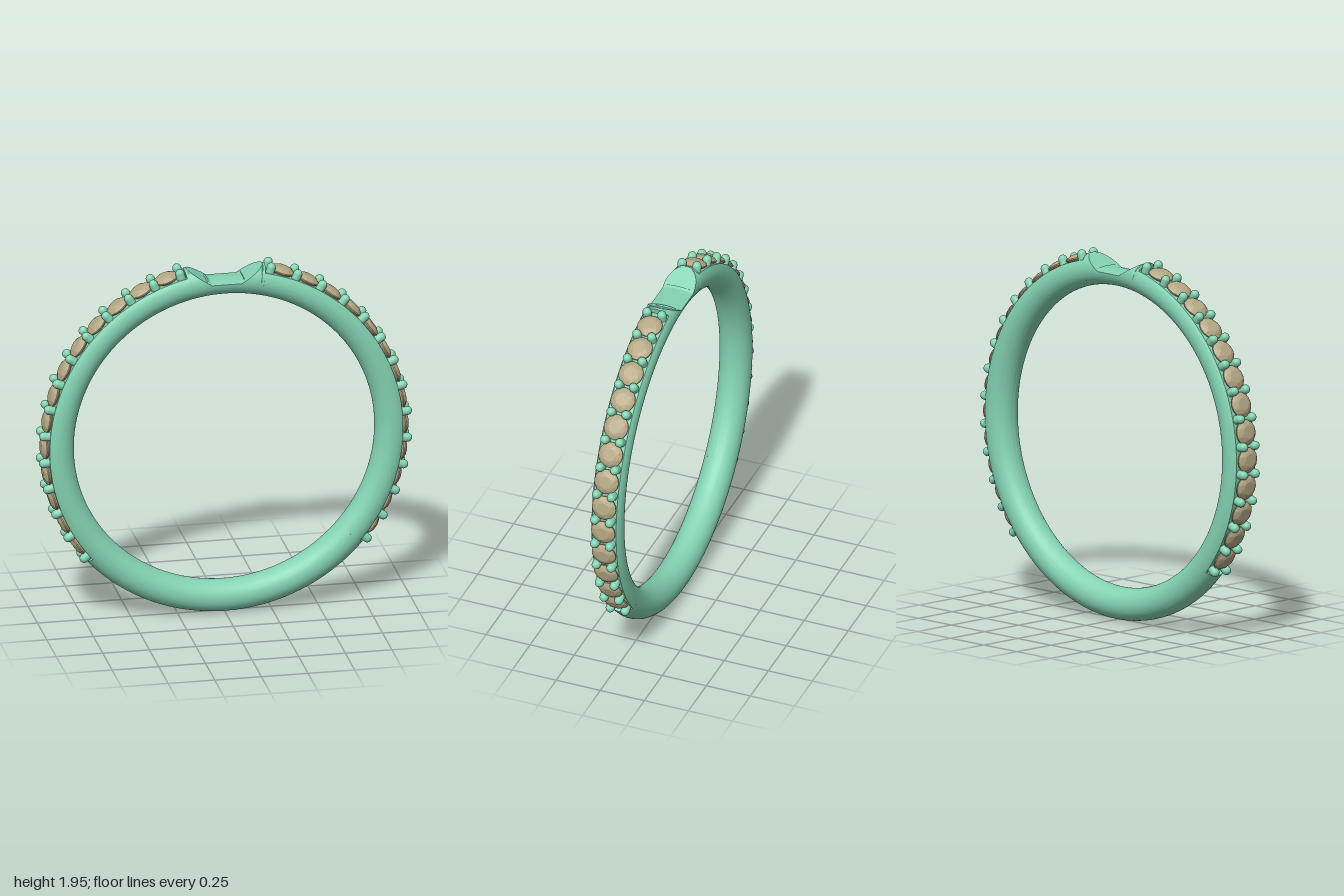
import * as THREE from 'three';
import { toCreasedNormals } from 'three/addons/utils/BufferGeometryUtils.js';
import { ConvexGeometry } from 'three/addons/geometries/ConvexGeometry.js';

const RAD = Math.PI / 180;
const CENTER_Y = 0.985; // height of the ring's axis
const R = 0.8935;       // centreline radius of the band
const T = 0.0865;       // radius of the round band section
const SEAT = 0.947;     // band radius where the stones sit
const PAVE_TOP = 77.2, PAVE_END = -40.9; // stone zone on each side, degrees
const FOOT = 0.08, FLAT = 0.882, SLOPE = 0.62; // saddle at the top
const FOOT_ANGLE = Math.atan2(FLAT, FOOT) / RAD;
const STONES = 13, FIRST = 75.5, STEP = 8.82;

// Outer radius of the band at an angle from +x (right half, -90 to 90)
function outerLimit(deg) {
  if (deg > PAVE_END && deg < PAVE_TOP) return SEAT;
  if (deg < PAVE_TOP) return R + T;
  const s = Math.sin(deg * RAD), c = Math.cos(deg * RAD);
  const slope = (FLAT - SLOPE * FOOT) / (s - SLOPE * c);
  return Math.min(R + T, deg > FOOT_ANGLE ? FLAT / s : slope);
}

// Round section with its outer side cut off flat (slightly domed on the saddle)
function section(deg) {
  const ARC = 52, CHORD = 10, pts = [];
  const cut = outerLimit(deg);
  const phi0 = Math.acos(Math.min(1, (cut - R) / T));
  for (let j = 0; j <= ARC; j++) {
    const phi = phi0 + (2 * Math.PI - 2 * phi0) * j / ARC;
    pts.push([R + T * Math.cos(phi), T * Math.sin(phi)]);
  }
  const dome = deg > FOOT_ANGLE - 1 ? 0.012 : 0;
  for (let j = 1; j < CHORD; j++) {
    const u = 2 * j / CHORD - 1;
    pts.push([cut + dome * (1 - u * u), T * Math.sin(phi0) * u]);
  }
  return pts;
}

function bandGeometry() {
  // Even steps plus paired angles at each end of the stone zone for crisp walls
  const half = [PAVE_END - 0.001, PAVE_END + 0.001, PAVE_TOP - 0.001, PAVE_TOP + 0.001, FOOT_ANGLE];
  for (let a = -90; a <= 90; a += 1.5) half.push(a);
  for (let a = 77.6; a < 86; a += 0.4) half.push(a);
  half.sort((a, b) => a - b);
  const rings = half.map(a => ({ at: a, deg: a }))
    .concat(half.slice(1, -1).reverse().map(a => ({ at: 180 - a, deg: a })));

  const pos = [], idx = [];
  let n = 0;
  for (const { at, deg } of rings) {
    const pts = section(deg);
    n = pts.length;
    for (const [r, z] of pts) pos.push(r * Math.cos(at * RAD), r * Math.sin(at * RAD), z);
  }
  for (let i = 0; i < rings.length; i++) {
    for (let j = 0; j < n; j++) {
      const i2 = (i + 1) % rings.length, j2 = (j + 1) % n;
      const a = i * n + j, b = i2 * n + j, c = i2 * n + j2, d = i * n + j2;
      idx.push(a, b, c, a, c, d);
    }
  }
  const g = new THREE.BufferGeometry();
  g.setAttribute('position', new THREE.Float32BufferAttribute(pos, 3));
  g.setIndex(idx);
  return toCreasedNormals(g, 0.45);
}

// Round faceted stone: table, crown, girdle and pointed pavilion along y
function stoneGeometry() {
  const pts = [new THREE.Vector3(0, -0.055, 0)];
  const ring = (count, radius, y, turn) => {
    for (let i = 0; i < count; i++) {
      const a = (i + turn) / count * 2 * Math.PI;
      pts.push(new THREE.Vector3(radius * Math.cos(a), y, radius * Math.sin(a)));
    }
  };
  ring(8, 0.036, 0.026, 0);
  ring(8, 0.054, 0.0185, 0.5);
  ring(16, 0.068, 0.006, 0);
  ring(16, 0.068, 0, 0);
  return new ConvexGeometry(pts);
}

export function createModel() {
  const model = new THREE.Group();
  const metal = new THREE.MeshStandardMaterial({ color: 0x84d3b2 });
  const gem = new THREE.MeshStandardMaterial({ color: 0xb5a885, flatShading: true });

  const ring = new THREE.Group();
  ring.name = 'ring';
  ring.position.y = CENTER_Y;
  model.add(ring);

  const band = new THREE.Mesh(bandGeometry(), metal);
  band.name = 'band';
  ring.add(band);

  const stoneGeo = stoneGeometry();
  const prongGeo = new THREE.CapsuleGeometry(0.024, 0.035, 8, 16);

  // Places a part at a radius and angle, its y axis pointing outwards
  const place = (name, geo, mat, radius, deg, z) => {
    const mesh = new THREE.Mesh(geo, mat);
    mesh.name = name;
    mesh.position.set(radius * Math.cos(deg * RAD), radius * Math.sin(deg * RAD), z);
    mesh.rotation.z = (deg - 90) * RAD;
    ring.add(mesh);
  };

  // A row of stones on each side with a pair of prongs at every joint
  for (const side of [1, -1]) {
    const turn = deg => (side > 0 ? deg : 180 - deg);
    for (let i = 0; i <= STONES; i++) {
      const deg = FIRST - i * STEP;
      for (const z of [-0.042, 0.042]) place('prong', prongGeo, metal, 0.9605, turn(deg), z);
      if (i < STONES) place('stone', stoneGeo, gem, 0.957, turn(deg - STEP / 2), 0);
    }
  }
  return model;
}
